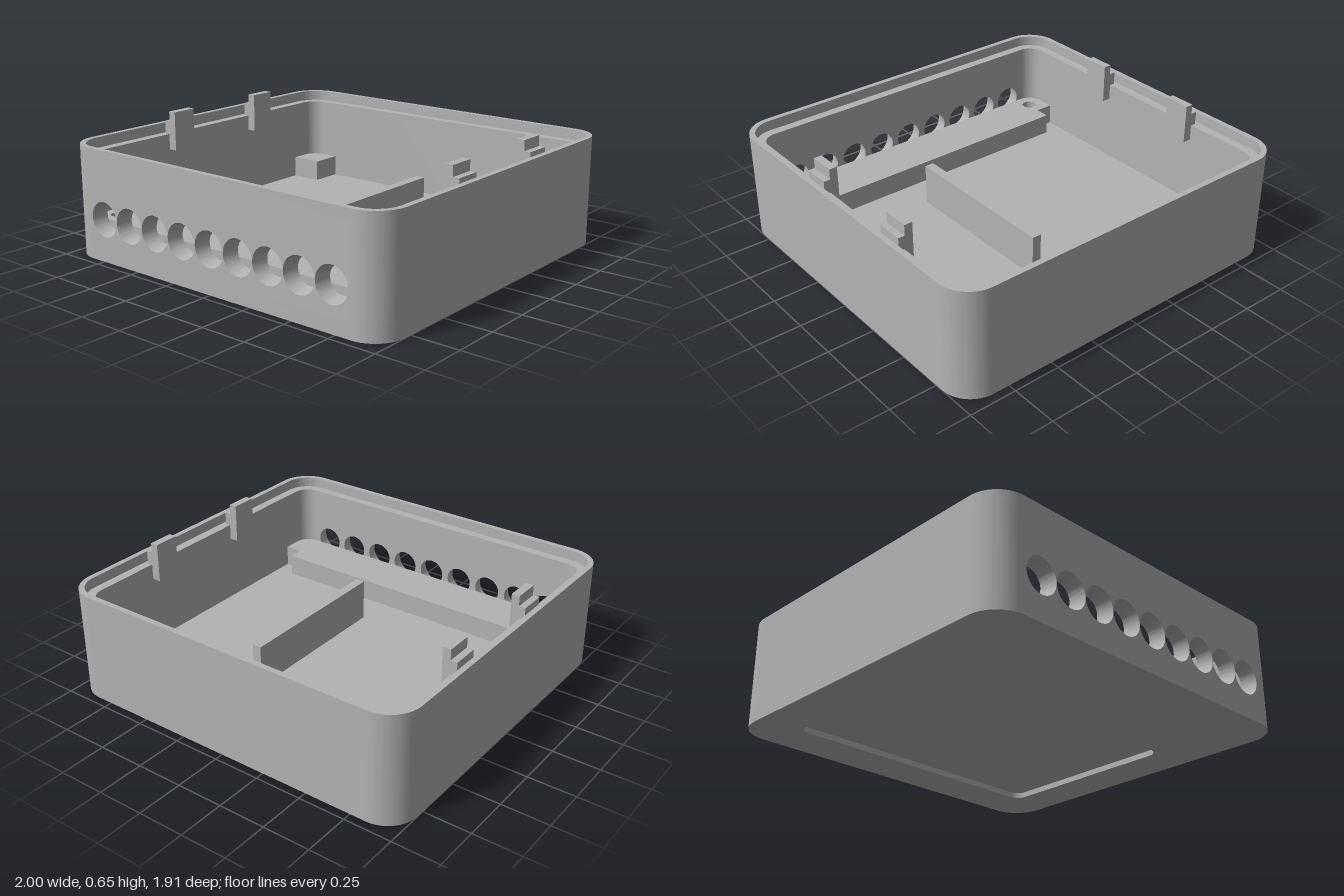
import * as THREE from 'three';
import { toCreasedNormals } from 'three/addons/utils/BufferGeometryUtils.js';

const HX = 1, HZ = 0.955, R = 0.165;          // outer half sizes and corner radius
const WALL = 0.08, LIP = 0.03;                // wall and lip thickness
const FLOOR = 0.08, SHELF = 0.525, RIM = 0.58;

// Rounded rectangle in plan (shape y becomes model z)
function roundedRect(hx, hz, r, cz = 0, Type = THREE.Shape) {
  const s = new Type();
  s.absarc(hx - r, cz + hz - r, r, 0, Math.PI / 2);
  s.absarc(-hx + r, cz + hz - r, r, Math.PI / 2, Math.PI);
  s.absarc(-hx + r, cz - hz + r, r, Math.PI, Math.PI * 1.5);
  s.absarc(hx - r, cz - hz + r, r, Math.PI * 1.5, Math.PI * 2);
  s.closePath();
  return s;
}

function circleHole(x, y, r) {
  const p = new THREE.Path();
  p.absarc(x, y, r, 0, Math.PI * 2);
  return p;
}

// Extrude a plan shape between two heights
function slab(shape, y0, y1) {
  const g = new THREE.ExtrudeGeometry(shape, { depth: y1 - y0, bevelEnabled: false, curveSegments: 16 });
  g.rotateX(Math.PI / 2).translate(0, y1, 0);
  return toCreasedNormals(g, 0.5);
}

export function createModel() {
  const model = new THREE.Group();
  model.name = 'enclosureBase';
  const grey = new THREE.MeshStandardMaterial({ color: 0xb3b3b3, side: THREE.DoubleSide });
  grey.name = 'grey plastic';

  const add = (name, geometry) => {
    const m = new THREE.Mesh(geometry, grey);
    m.name = name;
    model.add(m);
    return m;
  };
  const box = (name, x0, x1, y0, y1, z0, z1) =>
    add(name, new THREE.BoxGeometry(x1 - x0, y1 - y0, z1 - z0)
      .translate((x0 + x1) / 2, (y0 + y1) / 2, (z0 + z1) / 2));

  // Floor, with a shallow recess underneath
  const base = roundedRect(HX, HZ, R);
  base.holes.push(roundedRect(0.775, 0.53, 0.06, -0.19, THREE.Path));
  add('undersideFrame', slab(base, 0, 0.03));
  add('floor', slab(roundedRect(HX, HZ, R), 0.03, FLOOR));

  // Side and back walls with all four corners
  const cx = HX - R, cz = HZ - R, ri = R - WALL, q = Math.PI / 2;
  const u = new THREE.Shape();
  u.moveTo(cx, HZ);
  u.absarc(cx, cz, R, q, 0, true);
  u.absarc(cx, -cz, R, 0, -q, true);
  u.absarc(-cx, -cz, R, -q, -2 * q, true);
  u.absarc(-cx, cz, R, 2 * q, q, true);
  u.lineTo(-cx, HZ - WALL);
  u.absarc(-cx, cz, ri, q, 2 * q, false);
  u.absarc(-cx, -cz, ri, -2 * q, -q, false);
  u.absarc(cx, -cz, ri, -q, 0, false);
  u.absarc(cx, cz, ri, 0, q, false);
  u.closePath();
  add('sideAndBackWalls', slab(u, FLOOR, SHELF));

  // Front wall with a row of nine holes that taper inwards
  const panel = new THREE.Shape();
  panel.moveTo(-cx, FLOOR).lineTo(cx, FLOOR).lineTo(cx, SHELF).lineTo(-cx, SHELF).closePath();
  const pitch = 0.183, holeY = 0.225, rOut = 0.091, rIn = 0.073;
  for (let i = -4; i <= 4; i++) panel.holes.push(circleHole(i * pitch, holeY, rOut));
  const front = new THREE.ExtrudeGeometry(panel, { depth: WALL, bevelEnabled: false, curveSegments: 32 });
  const pos = front.attributes.position;
  for (let i = 0; i < pos.count; i++) {
    const x = pos.getX(i), y = pos.getY(i);
    const c = THREE.MathUtils.clamp(Math.round(x / pitch), -4, 4) * pitch;
    if (pos.getZ(i) < 0.001 && Math.hypot(x - c, y - holeY) < rOut + 0.0004) {
      pos.setXY(i, c + (x - c) * rIn / rOut, holeY + (y - holeY) * rIn / rOut);
    }
  }
  front.translate(0, 0, HZ - WALL);
  front.computeVertexNormals();
  add('frontWall', toCreasedNormals(front, 0.5));

  // Thin raised lip around the rim
  const lip = roundedRect(HX, HZ, R);
  lip.holes.push(roundedRect(HX - LIP, HZ - LIP, R - LIP, 0, THREE.Path));
  add('rimLip', slab(lip, SHELF, RIM));

  // Stepped ledge behind the front wall, with a screw hole
  const inX = HX - WALL, inZ = HZ - WALL, blockTop = 0.195;
  const ledge = new THREE.Shape();
  [[-inX, inZ], [-inX, 0.695], [-0.82, 0.695], [-0.82, 0.61],
    [0.82, 0.61], [0.82, 0.695], [inX, 0.695], [inX, inZ]]
    .forEach(([x, z], i) => (i ? ledge.lineTo(x, z) : ledge.moveTo(x, z)));
  ledge.closePath();
  ledge.holes.push(circleHole(-0.83, 0.785, 0.04));
  add('frontLedge', slab(ledge, FLOOR, blockTop));

  // Back corner blocks; the left one has a screw hole
  box('rightCornerBlock', -inX, -0.745, FLOOR, blockTop, -inZ, -0.70);
  const block = new THREE.Shape();
  block.moveTo(0.745, -inZ).lineTo(inX, -inZ).lineTo(inX, -0.70).lineTo(0.745, -0.70).closePath();
  block.holes.push(circleHole(0.83, -0.79, 0.04));
  add('leftCornerBlock', slab(block, FLOOR, blockTop));

  // Divider on the floor
  box('divider', 0.155, 0.205, FLOOR, 0.305, -0.47, 0.42);

  // Snap clips: an upright with a small foot on the wall shelf
  for (const side of [-1, 1]) {
    for (const z of [-0.36, 0.26]) {
      const clip = new THREE.Shape();
      [[0.872, 0.44], [0.92, 0.44], [0.92, SHELF], [0.95, SHELF], [0.95, 0.595],
        [0.915, 0.595], [0.915, 0.65], [0.872, 0.65]]
        .forEach(([x, y], i) => (i ? clip.lineTo(x, y) : clip.moveTo(x, y)));
      clip.closePath();
      const g = new THREE.ExtrudeGeometry(clip, { depth: 0.14, bevelEnabled: false });
      g.translate(0, 0, -0.07);
      if (side < 0) g.rotateY(Math.PI);
      g.translate(0, 0, z);
      add('snapClip', g);
    }
  }
  return model;
}
